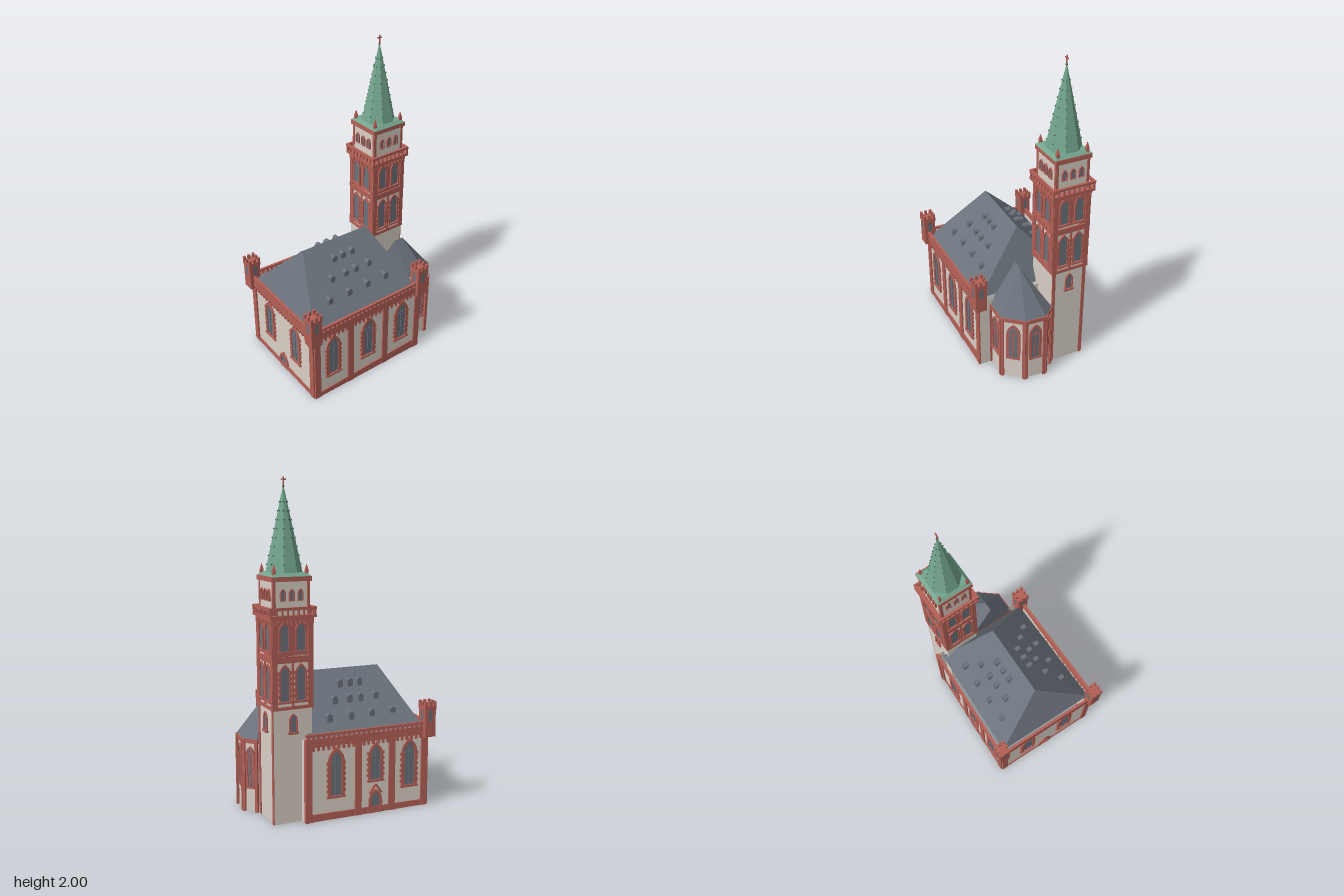
import * as THREE from 'three';

const mat = (name, color, side = THREE.FrontSide) => {
  const m = new THREE.MeshStandardMaterial({ color, side });
  m.name = name;
  return m;
};

export function createModel() {
  const plaster = mat('plaster', 0xdad1c7, THREE.DoubleSide);
  const sandstone = mat('red sandstone', 0xb46157);
  const slate = mat('slate', 0x6b727c, THREE.DoubleSide);
  const glass = mat('window glass', 0x6c737c);
  const copper = mat('green copper', 0x74a58e);
  const darkCopper = mat('dark copper', 0x4a7263);
  const model = new THREE.Group();
  model.name = 'church';

  const add = (parent, name, geo, material, x = 0, y = 0, z = 0) => {
    const m = new THREE.Mesh(geo, material);
    m.name = name;
    m.position.set(x, y, z);
    parent.add(m);
    return m;
  };
  // box given by centre x/z and bottom/top heights
  const box = (p, name, material, w, d, y0, y1, x = 0, z = 0) =>
    add(p, name, new THREE.BoxGeometry(w, y1 - y0, d), material, x, (y0 + y1) / 2, z);
  const group = (parent, name, x = 0, y = 0, z = 0, ry = 0) => {
    const g = new THREE.Group();
    g.name = name;
    g.position.set(x, y, z);
    g.rotation.y = ry;
    parent.add(g);
    return g;
  };
  const faceted = geo => {
    const g = geo.toNonIndexed();
    g.computeVertexNormals();
    return g;
  };
  const extrude = (shape, depth) =>
    new THREE.ExtrudeGeometry(shape, { depth, bevelEnabled: false, curveSegments: 5 });
  // upright prism over a plan of [x, z] points
  const prism = (name, plan, y0, y1, material) => {
    const geo = extrude(new THREE.Shape(plan.map(([x, z]) => new THREE.Vector2(x, -z))), y1 - y0);
    return add(model, name, geo.rotateX(-Math.PI / 2), material, 0, y0, 0);
  };
  const fromTriangles = pos => {
    const geo = new THREE.BufferGeometry();
    geo.setAttribute('position', new THREE.Float32BufferAttribute(pos, 3));
    geo.computeVertexNormals();
    return geo;
  };
  // thin walls round a plan, open above and below
  const shell = (parent, name, plan, h) => {
    const pos = [];
    plan.forEach(([ax, az], i) => {
      const [bx, bz] = plan[(i + 1) % plan.length];
      pos.push(ax, 0, az, bx, 0, bz, bx, h, bz, ax, 0, az, bx, h, bz, ax, h, az);
    });
    add(parent, name, fromTriangles(pos), plaster);
  };
  // hipped roof: every eave corner is joined to its ridge point
  const hipRoof = (name, eaves, y0, ridge, y1, link) => {
    const pos = [];
    eaves.forEach((a, i) => {
      const j = (i + 1) % eaves.length, b = eaves[j];
      const ra = ridge[link[i]], rb = ridge[link[j]];
      const A = [a[0], y0, a[1]], B = [b[0], y0, b[1]];
      const C = [rb[0], y1, rb[1]], D = [ra[0], y1, ra[1]];
      pos.push(...A, ...B, ...C);
      if (link[i] !== link[j]) pos.push(...A, ...C, ...D);
    });
    add(model, name, fromTriangles(pos), slate);
  };
  // pointed arch outline
  const lancet = (w, h, y0 = 0, path = new THREE.Shape()) => {
    const s = h - w * 0.85, k = s + (h - s) * 0.6;
    path.moveTo(-w / 2, y0).lineTo(w / 2, y0).lineTo(w / 2, s);
    path.quadraticCurveTo(w / 2, k, 0, h).quadraticCurveTo(-w / 2, k, -w / 2, s);
    return path;
  };
  const lancetWindow = (p, x, y, w, h, t, { quoins = false, mullion = null, sill = true } = {}) => {
    const g = group(p, 'window', x, y, 0);
    const frame = lancet(w, h);
    frame.holes.push(lancet(w - 2 * t, h - t * 1.2, t * 0.5, new THREE.Path()));
    add(g, 'windowFrame', extrude(frame, 0.01), sandstone);
    add(g, 'windowPane', new THREE.ShapeGeometry(lancet(w - t, h - t * 0.6), 5), glass, 0, 0, 0.003);
    if (sill) box(g, 'windowSill', sandstone, w + 0.012, 0.016, -0.004, 0.008, 0, 0.006);
    if (mullion) {
      box(g, 'mullion', mullion, 0.006, 0.004, 0, h - w * 0.55, 0, 0.005);
      const iw = (w - 2 * t) / 2;
      for (const s of [-1, 1]) {
        const arch = lancet(iw, h - w * 0.75);
        arch.holes.push(lancet(iw - 0.007, h - w * 0.75 - 0.007, 0.004, new THREE.Path()));
        add(g, 'tracery', extrude(arch, 0.003), mullion, s * iw / 2, 0, 0.003);
      }
    }
    if (quoins) for (let yy = 0.03; yy < h - w * 0.7; yy += 0.034)
      for (const s of [-1, 1]) box(g, 'quoin', sandstone, 0.01, 0.008, yy, yy + 0.017, s * (w / 2 + 0.003), 0.004);
  };
  // frame on a wall from a to b: local x along it, local z outward
  const facade = (name, a, b) => {
    const dx = b[0] - a[0], dz = b[1] - a[1];
    const g = group(model, name, (a[0] + b[0]) / 2, 0, (a[1] + b[1]) / 2, Math.atan2(-dz, dx));
    return [g, Math.hypot(dx, dz)];
  };

  // ---- nave ----
  const nave = [[-0.526, 0.354], [0.31, 0.352], [0.305, -0.326], [-0.505, -0.36]];
  const [FL, FR, BR, BL] = nave;
  shell(model, 'naveWalls', nave, 0.5);
  hipRoof('naveRoof', [[-0.508, 0.335], [0.28, 0.335], [0.28, -0.305], [-0.488, -0.338]], 0.5,
    [[-0.35, 0], [0.13, 0.01]], 0.84, [0, 1, 1, 0]);

  const trimWall = (name, a, b, plinthL, plinthR, pilasters) => {
    const [g, L] = facade(name, a, b);
    const plinth = new THREE.Shape([[-L / 2, 0], [L / 2, 0], [L / 2, plinthR], [-L / 2, plinthL]]
      .map(p => new THREE.Vector2(...p)));
    add(g, 'plinth', extrude(plinth, 0.007), sandstone);
    pilasters.forEach(x => box(g, 'pilaster', sandstone, 0.042, 0.01, 0, 0.46, x, 0.005));
    box(g, 'frieze', sandstone, L, 0.014, 0.455, 0.505, 0, 0.007);
    box(g, 'parapetRail', sandstone, L, 0.016, 0.52, 0.535, 0, 0.008);
    const n = Math.round(L / 0.032);
    for (let i = 0; i < n; i++) {
      const x = -L / 2 + (i + 0.5) * L / n;
      box(g, 'friezeTooth', sandstone, 0.016, 0.012, 0.432, 0.456, x, 0.006);
      box(g, 'parapetPost', sandstone, 0.016, 0.012, 0.504, 0.521, x, 0.008);
    }
    return g;
  };
  const naveWin = { quoins: true, mullion: slate };
  const front = trimWall('frontWall', FL, FR, 0.03, 0.062, [-0.399, -0.145, 0.13, 0.397]);
  for (const x of [-0.279, -0.007, 0.263]) lancetWindow(front, x, 0.135, 0.108, 0.305, 0.02, naveWin);

  const back = trimWall('backWall', BR, BL, 0.045, 0.035, [-0.384, -0.065, 0.16, 0.384]);
  for (const x of [-0.21, 0.28]) lancetWindow(back, x, 0.135, 0.108, 0.305, 0.02, naveWin);
  lancetWindow(back, 0.05, 0.2, 0.1, 0.24, 0.018, naveWin);
  lancetWindow(back, 0.05, 0.0, 0.09, 0.15, 0.016, { sill: false });
  for (const s of [-1, 1]) {
    const bar = add(back, 'portalGable', new THREE.BoxGeometry(0.07, 0.011, 0.012), sandstone, 0.05 + s * 0.021, 0.15, 0.006);
    bar.rotation.z = -s * 0.95;
  }
  const left = trimWall('leftWall', BL, FL, 0.03, 0.03, [-0.335, 0.335]);
  for (const x of [-0.15, 0.15]) lancetWindow(left, x, 0.155, 0.105, 0.28, 0.018, naveWin);
  lancetWindow(left, 0, 0, 0.1, 0.12, 0.018, { sill: false });
  box(model, 'cornerPilaster', sandstone, 0.02, 0.026, 0, 0.5, 0.298, -0.33);

  // dormers in three rows on both slopes
  const dormer = (x, z) => {
    const s = Math.sign(z), zf = Math.abs(z) + 0.016;
    const y = 0.84 - 0.34 * zf / (s > 0 ? 0.335 : 0.318);
    const g = group(model, 'dormer', x, y - 0.004, s * zf, s > 0 ? 0 : Math.PI);
    const arch = r => {
      const a = new THREE.Shape();
      a.moveTo(-r, 0).lineTo(r, 0).lineTo(r, 0.032).absarc(0, 0.032, r, 0, Math.PI);
      return a;
    };
    add(g, 'dormerBody', extrude(arch(0.017), 0.036), slate, 0, 0, -0.036);
    add(g, 'dormerWindow', new THREE.ShapeGeometry(arch(0.011), 5), glass, 0, 0, 0.002);
  };
  const rows = [[0.083, -0.175, -0.11, -0.04], [0.16, -0.25, -0.145, -0.068, 0.033], [0.24, -0.325, -0.18, -0.038, 0.106]];
  for (const [z, ...xs] of rows) for (const x of xs) { dormer(x, z); dormer(x, -z + 0.006); }

  // corner turrets
  for (const [x, z] of [[-0.528, 0.353], [0.298, 0.35], [-0.505, -0.36]]) {
    const g = group(model, 'turret', x, 0, z);
    box(g, 'turretBody', sandstone, 0.074, 0.074, 0.44, 0.63);
    box(g, 'turretCrown', sandstone, 0.08, 0.08, 0.61, 0.635);
    for (let k = 0; k < 4; k++) {
      const side = group(g, 'turretSide', 0, 0, 0, k * Math.PI / 2);
      for (const u of [-0.032, 0, 0.032]) box(side, 'merlon', sandstone, 0.016, 0.014, 0.634, 0.662, u, 0.033);
      add(side, 'turretWindow', new THREE.ShapeGeometry(lancet(0.026, 0.075), 5), glass, 0, 0.54, 0.0385);
    }
  }

  // ---- apse ----
  const apse = [[0.3, 0.272], [0.45, 0.272], [0.545, 0.16], [0.555, 0.03], [0.49, -0.04], [0.3, -0.04]];
  const grow = (d) => apse.map(([x, z]) => [x === 0.3 ? x : x + d * (x > 0.48 ? 1 : 0.5), z + d * (z > 0.2 ? 1 : z < 0 ? -0.5 : 0.2)]);
  shell(model, 'apseWalls', apse, 0.44);
  prism('apseCornice', grow(0.011), 0.43, 0.456, sandstone);
  hipRoof('apseRoof', grow(0.006), 0.457, [[0.3, 0.108], [0.36, 0.108]], 0.71, [0, 1, 1, 1, 1, 0]);
  for (let i = 0; i < 4; i++) {
    const [g, L] = facade('apseWall', apse[i], apse[i + 1]);
    const w = [0.092, 0.086, 0.08, 0.058][i];
    lancetWindow(g, 0, 0.145, w, 0.265, 0.013, { quoins: i === 0, mullion: sandstone, sill: i === 0 });
    for (const s of [-1, 1]) box(g, 'apsePilaster', sandstone, 0.018, 0.022, 0, 0.455, s * (L / 2 - 0.006), 0.003);
  }

  // ---- tower ----
  const tower = group(model, 'tower', 0.36, 0, -0.165);
  shell(tower, 'towerShaft', [[-0.12, 0.115], [0.12, 0.115], [0.12, -0.115], [-0.12, -0.115]], 1.0);
  box(tower, 'towerUpperStage', sandstone, 0.24, 0.23, 0.98, 1.21);
  box(tower, 'belfry', plaster, 0.222, 0.212, 1.21, 1.425);
  for (const [y0, y1, w] of [[0.683, 0.702, 0.258], [0.972, 0.992, 0.258], [1.195, 1.212, 0.262],
    [1.212, 1.228, 0.288], [1.418, 1.446, 0.246]])
    box(tower, 'stringCourse', sandstone, w, w - 0.012, y0, y1);
  for (let k = 0; k < 4; k++) {
    // sides in the order +z, +x, -z, -x
    const odd = k % 2, half = odd ? 0.12 : 0.115, wide = odd ? 0.23 : 0.24;
    const side = group(tower, 'towerSide', 0, 0, 0, k * Math.PI / 2);
    const face = group(side, 'towerFace', 0, 0, half);
    for (const s of [-1, 1]) {
      box(face, 'cornerStrip', sandstone, 0.03, 0.012, 0.7, 1.2, s * (wide / 2 - 0.01), 0.003);
      if (k === 1) box(face, 'lowerCornerStrip', sandstone, 0.022, 0.006, 0, 0.69, s * (wide / 2 - 0.011), 0.002);
      lancetWindow(face, s * 0.05, 0.725, 0.074, 0.225, 0.011, { quoins: true });
      lancetWindow(face, s * 0.05, 1.015, 0.07, 0.178, 0.009);
    }
    box(face, 'stageBand', sandstone, wide, 0.008, 0.955, 0.975, 0, 0.004);
    box(face, 'middleStrip', sandstone, 0.012, 0.008, 0.7, 0.975, 0, 0.004);
    if (k === 1 || k === 2) lancetWindow(face, 0, 0.54, 0.052, 0.12, 0.008);
    // balcony
    const rail = group(side, 'balconySide', 0, 0, odd ? 0.138 : 0.132);
    box(rail, 'balconyRail', sandstone, wide + 0.046, 0.014, 1.257, 1.274);
    for (let i = -4; i <= 4; i++) {
      box(rail, 'baluster', sandstone, 0.009, 0.009, 1.226, 1.258, i * 0.033);
      box(face, 'balconyCorbel', sandstone, 0.014, 0.014, 1.175, 1.197, i * 0.028, 0.006);
    }
    // belfry openings
    const bell = group(side, 'belfryFace', 0, 0, odd ? 0.111 : 0.106);
    for (const u of [-0.054, 0, 0.054]) lancetWindow(bell, u, 1.307, 0.034, 0.07, 0.006, { sill: false });
    for (const s of [-1, 1]) box(bell, 'belfryCorner', sandstone, 0.016, 0.008, 1.22, 1.42, s * (odd ? 0.1 : 0.105), 0);
    // pinnacle
    const px = k < 2 ? 0.1 : -0.1, pz = odd ? 0.094 : -0.094;
    box(tower, 'pinnacleBase', sandstone, 0.018, 0.018, 1.44, 1.475, px, pz);
    add(tower, 'pinnacle', faceted(new THREE.ConeGeometry(0.014, 0.04, 4).rotateY(Math.PI / 4)), sandstone, px, 1.495, pz);
  }

  // spire
  const skirt = faceted(new THREE.CylinderGeometry(0.14, 0.168, 0.02, 4).rotateY(Math.PI / 4));
  add(tower, 'spireSkirt', skirt, copper, 0, 1.455, 0);
  const r0 = 0.107, r1 = 0.005, y0 = 1.46, y1 = 1.935;
  add(tower, 'spire', faceted(new THREE.CylinderGeometry(r1, r0, y1 - y0, 8).rotateY(Math.PI / 8)), copper, 0, (y0 + y1) / 2, 0);
  for (let e = 0; e < 8; e++) for (let i = 1; i < 9; i++) {
    const a = (e + 0.5) * Math.PI / 4, t = i / 9.5, r = r0 + (r1 - r0) * t + 0.001;
    add(tower, 'crocket', new THREE.OctahedronGeometry(0.006), darkCopper, r * Math.cos(a), y0 + (y1 - y0) * t, r * Math.sin(a));
  }
  add(tower, 'finial', new THREE.SphereGeometry(0.007, 10, 8), darkCopper, 0, 1.947, 0);
  box(tower, 'crossPost', sandstone, 0.006, 0.006, 1.93, 2.0);
  box(tower, 'crossArm', sandstone, 0.032, 0.006, 1.981, 1.988);
  return model;
}
